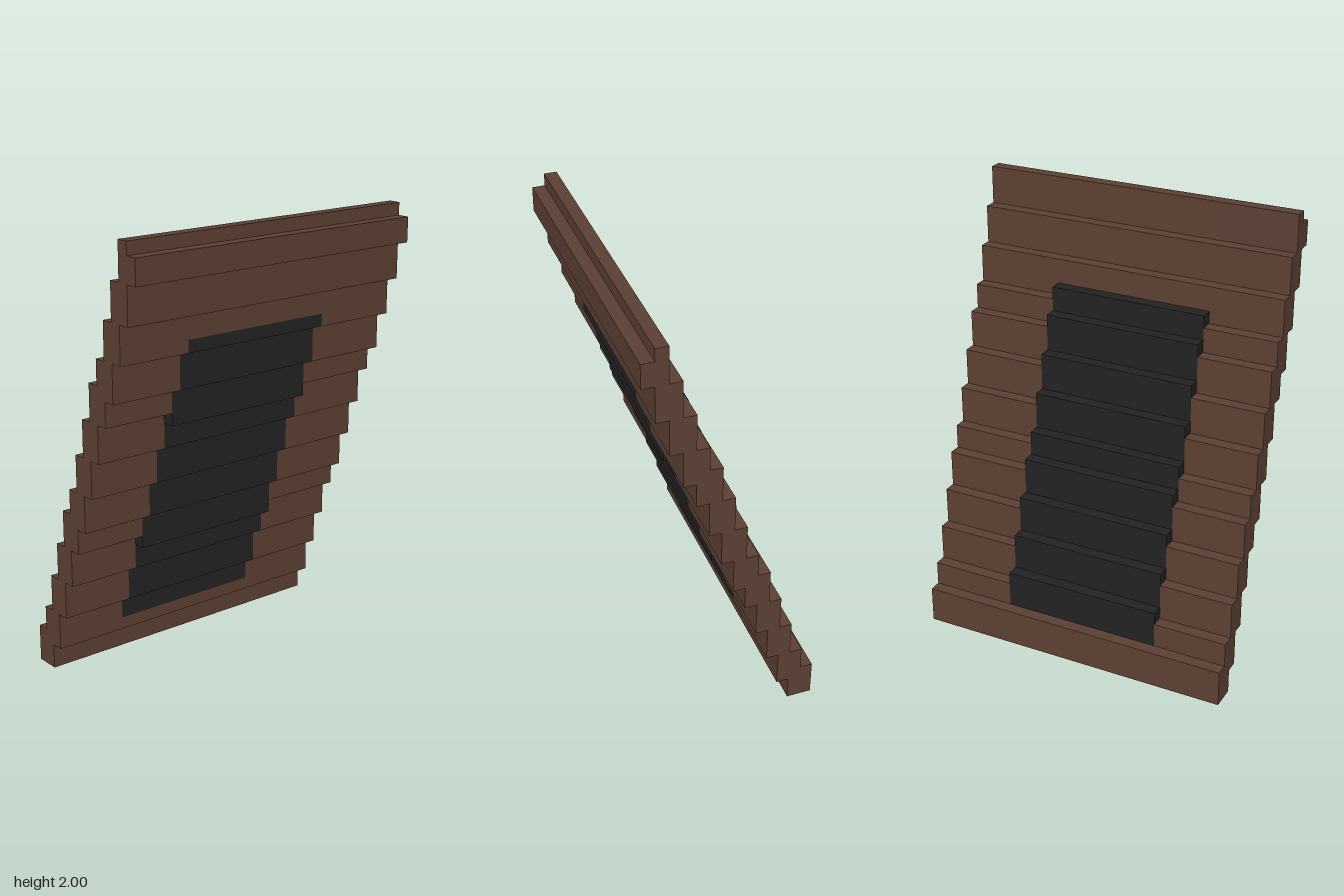
import * as THREE from 'three';

const UNIT = 2 / 36; // one block
const WIDTH = 14;    // blocks along x

// Bottom and top of each one-block column, in blocks, from -x to +x
const frameSpans = [
  [0, 3], [0, 5], [2, 8], [5, 11], [8, 14], [11, 16], [13, 19],
  [16, 22], [19, 25], [22, 27], [24, 30], [27, 33], [30, 36], [33, 35],
];
// The dark inlay bulges one block beyond the frame on some steps
const inlaySpans = frameSpans.map(([lo, hi], i) => [
  i === 5 || i === 9 ? lo - 1 : lo,
  i >= 1 && i <= 9 ? hi + 1 : hi,
]);

// Stepped slab: the columns cut to yMin..yMax, extruded from z0 to z1
function steppedSlab(name, material, spans, yMin, yMax, z0, z1) {
  const lower = [], upper = [];
  spans.forEach(([lo, hi], i) => {
    const a = Math.max(lo, yMin), b = Math.min(hi, yMax);
    if (a >= b) return;
    const x = i - WIDTH / 2;
    lower.push([x, a], [x + 1, a]);
    upper.push([x, b], [x + 1, b]);
  });
  const outline = [...lower, ...upper.reverse()];
  const shape = new THREE.Shape(outline.map(([x, y]) => new THREE.Vector2(x * UNIT, y * UNIT)));
  const geometry = new THREE.ExtrudeGeometry(shape, { depth: (z1 - z0) * UNIT, bevelEnabled: false });
  geometry.translate(0, 0, z0 * UNIT);
  const mesh = new THREE.Mesh(geometry, material);
  mesh.name = name;
  return mesh;
}

export function createModel() {
  const wood = new THREE.MeshStandardMaterial({ name: 'darkBrown', color: 0x5c4033 });
  const dark = new THREE.MeshStandardMaterial({ name: 'charcoal', color: 0x222222 });

  const model = new THREE.Group();
  model.name = 'leaningPanel';
  model.add(
    // Brown frame around the inlay
    steppedSlab('frameBackSide', wood, frameSpans, 0, 36, -13, -6),
    steppedSlab('frameFrontSide', wood, frameSpans, 0, 36, 7, 13),
    steppedSlab('frameBottomRail', wood, frameSpans, 0, 3, -6, 7),
    steppedSlab('frameTopRail', wood, frameSpans, 28, 36, -6, 7),
    // Dark inlay, slightly off centre
    steppedSlab('inlay', dark, inlaySpans, 3, 28, -6, 7),
  );
  return model;
}
